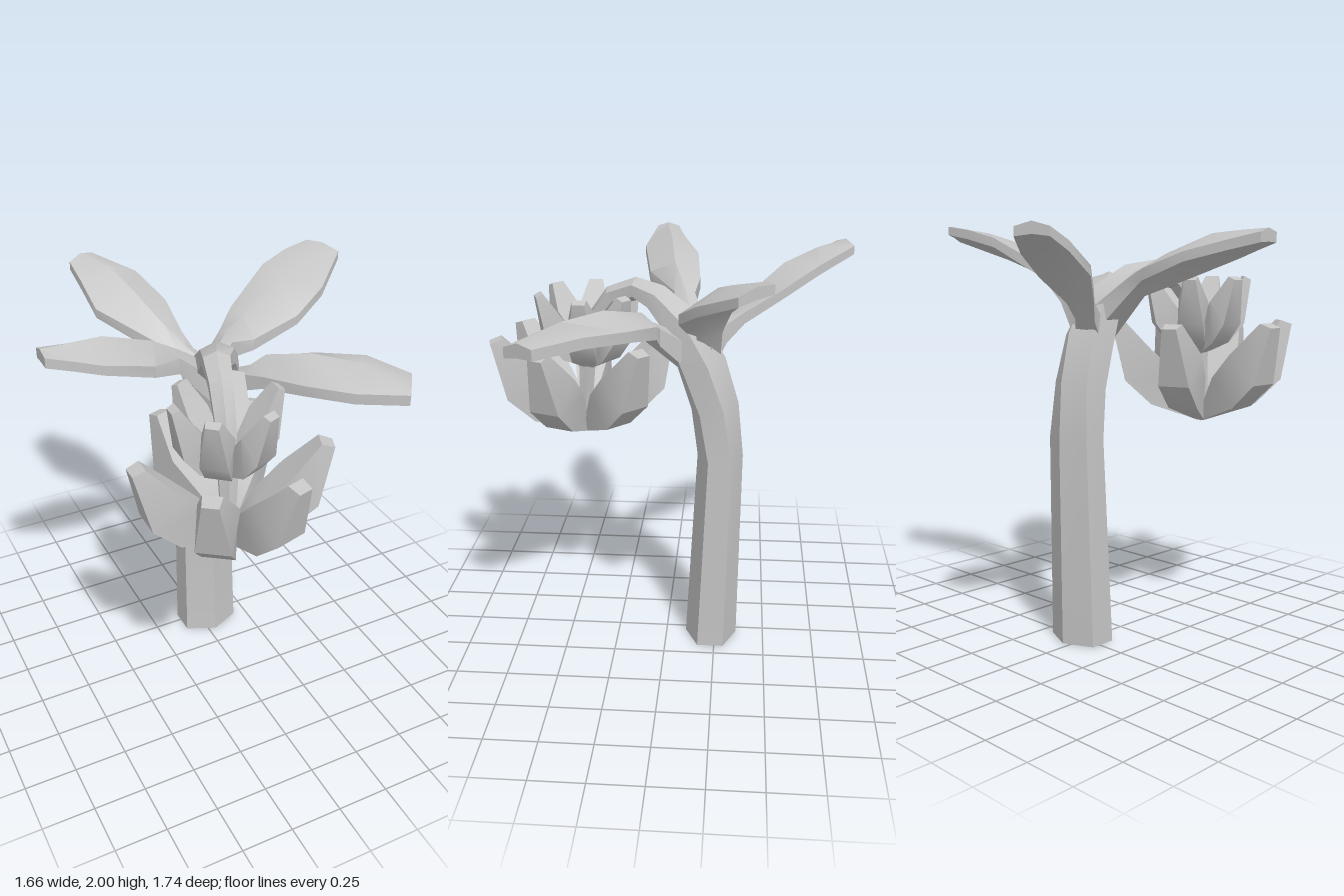
import * as THREE from 'three';
import { toCreasedNormals } from 'three/addons/utils/BufferGeometryUtils.js';

const V = (x, y, z) => new THREE.Vector3(x, y, z);

// Skin a list of rings (equal point counts) and cap both ends, faces outward.
function loft(rings, crease) {
  const n = rings[0].length;
  const tris = [];
  for (let i = 0; i < rings.length - 1; i++) {
    for (let j = 0; j < n; j++) {
      const k = (j + 1) % n;
      const a = rings[i][j], b = rings[i][k], c = rings[i + 1][k], d = rings[i + 1][j];
      tris.push([a, b, c], [a, c, d]);
    }
  }
  const first = rings[0], last = rings[rings.length - 1];
  const mid = (r) => r.reduce((s, p) => s.add(p), V(0, 0, 0)).divideScalar(n);
  const m0 = mid(first), m1 = mid(last);
  for (let j = 0; j < n; j++) {
    const k = (j + 1) % n;
    tris.push([m0, first[k], first[j]], [m1, last[j], last[k]]);
  }
  const cross = V(0, 0, 0);
  let volume = 0;
  for (const [a, b, c] of tris) volume += a.dot(cross.crossVectors(b, c));
  const pos = [];
  for (const t of tris) for (const p of volume < 0 ? [t[0], t[2], t[1]] : t) pos.push(p.x, p.y, p.z);
  const geo = new THREE.BufferGeometry();
  geo.setAttribute('position', new THREE.Float32BufferAttribute(pos, 3));
  return toCreasedNormals(geo, crease);
}

// Six-sided trunk and stalk: centre x y z, half width, half depth, sideways turn.
function trunkRings() {
  const path = [
    [0.038, 0, -0.23, 0.167, 0.13, 0],
    [0.038, 1.0, -0.26, 0.147, 0.11, 0],
    [0.04, 1.25, -0.23, 0.14, 0.115, 0.1],
    [0.045, 1.46, -0.165, 0.14, 0.12, 0.2],
    [0.035, 1.64, -0.08, 0.12, 0.1, 0.32],
    [-0.025, 1.755, 0.05, 0.09, 0.07, 0.32],
    [-0.08, 1.785, 0.15, 0.07, 0.055, 0.32],
    [-0.12, 1.74, 0.27, 0.06, 0.05, 0.32],
    [-0.145, 1.62, 0.36, 0.053, 0.045, 0.32],
    [-0.155, 1.38, 0.41, 0.05, 0.045, 0.32],
    [-0.16, 1.05, 0.43, 0.03, 0.03, 0.32],
  ];
  return path.map(([x, y, z, w, d, turn], i) => {
    const a = path[Math.max(i - 1, 0)], b = path[Math.min(i + 1, path.length - 1)];
    const t = i === 0 ? V(0, 1, 0) : V(b[0] - a[0], b[1] - a[1], b[2] - a[2]).normalize();
    const s = V(Math.cos(turn), 0, Math.sin(turn));
    const f = s.clone().cross(t).normalize();
    return Array.from({ length: 6 }, (_, j) => {
      const ang = (j * Math.PI) / 3;
      return V(x, y, z).addScaledVector(s, w * Math.sin(ang)).addScaledVector(f, d * Math.cos(ang));
    });
  });
}

// Leaf section: left edge, right edge, arch of the midrib, edge thickness.
function leafRing([lx, ly, lz, rx, ry, rz, arch, thick]) {
  const l = V(lx, ly, lz), r = V(rx, ry, rz);
  const m = l.clone().lerp(r, 0.5).add(V(0, arch, 0));
  const shift = (p, d) => p.clone().add(V(0, d, 0));
  const h = thick / 2;
  return [shift(l, h), shift(m, h * 1.3), shift(r, h), shift(r, -h), shift(m, -h * 1.3), shift(l, -h)];
}

const LEAVES = {
  leafBackLeft: [
    [-0.05, 1.5, -0.17, 0.11, 1.5, -0.21, 0.02, 0.13],
    [-0.08, 1.6, -0.25, 0.01, 1.6, -0.28, 0.01, 0.09],
    [-0.19, 1.68, -0.36, -0.01, 1.67, -0.36, 0.04, 0.055],
    [-0.37, 1.79, -0.55, -0.02, 1.78, -0.53, 0.08, 0.045],
    [-0.39, 1.89, -0.69, -0.1, 1.88, -0.7, 0.045, 0.045],
    [-0.4, 1.945, -0.8, -0.26, 1.945, -0.87, 0.015, 0.04],
  ],
  leafBackRight: [
    [0.05, 1.53, -0.25, 0.06, 1.53, -0.1, 0.02, 0.14],
    [0.14, 1.68, -0.26, 0.15, 1.66, -0.15, 0.01, 0.08],
    [0.22, 1.78, -0.3, 0.24, 1.69, -0.1, 0.03, 0.055],
    [0.45, 1.92, -0.41, 0.46, 1.78, -0.08, 0.04, 0.045],
    [0.6, 1.96, -0.45, 0.64, 1.86, -0.16, 0.03, 0.045],
    [0.73, 1.98, -0.47, 0.83, 1.95, -0.33, 0.01, 0.04],
  ],
  leafLeft: [
    [0.0, 1.53, -0.05, 0.02, 1.53, -0.2, 0.02, 0.14],
    [-0.18, 1.71, -0.02, -0.16, 1.71, -0.12, 0.01, 0.08],
    [-0.35, 1.78, 0.11, -0.27, 1.77, -0.14, 0.055, 0.055],
    [-0.6, 1.865, 0.155, -0.5, 1.85, -0.12, 0.065, 0.045],
    [-0.72, 1.9, 0.13, -0.69, 1.9, -0.04, 0.035, 0.045],
    [-0.83, 1.93, 0.11, -0.83, 1.93, 0.0, 0.01, 0.045],
  ],
  leafFrontRight: [
    [0.12, 1.48, -0.15, 0.0, 1.48, -0.07, 0.02, 0.14],
    [0.18, 1.62, 0.02, 0.09, 1.62, 0.1, 0.01, 0.08],
    [0.25, 1.66, 0.03, 0.14, 1.64, 0.17, 0.05, 0.06],
    [0.43, 1.69, 0.14, 0.24, 1.67, 0.37, 0.07, 0.05],
    [0.6, 1.71, 0.3, 0.4, 1.67, 0.53, 0.05, 0.05],
    [0.71, 1.685, 0.5, 0.61, 1.665, 0.64, 0.015, 0.05],
  ],
};

// Fruit section: outer r, y, half width, then inner r, y, half width.
const FRUIT = [
  [0.01, 0.0, 0.02, 0.02, 0.08, 0.02],
  [0.26, 0.09, 0.075, 0.12, 0.23, 0.062],
  [0.39, 0.21, 0.078, 0.25, 0.35, 0.092],
  [0.455, 0.485, 0.036, 0.395, 0.505, 0.043],
];

// Four-sided upturned fruit leaning outward along +x.
function fruitGeometry(rScale, yScale, wScale) {
  const rings = FRUIT.map(([ro, yo, wo, ri, yi, wi]) => [
    V(ro * rScale, yo * yScale, wo * wScale),
    V(ri * rScale, yi * yScale, wi * wScale),
    V(ri * rScale, yi * yScale, -wi * wScale),
    V(ro * rScale, yo * yScale, -wo * wScale),
  ]);
  return loft(rings, 0.5);
}

function fruitCluster(name, geometry, material, angles) {
  const cluster = new THREE.Group();
  cluster.name = name;
  for (const deg of angles) {
    const fruit = new THREE.Mesh(geometry, material);
    fruit.name = 'fruit';
    fruit.rotation.y = -THREE.MathUtils.degToRad(deg);
    cluster.add(fruit);
  }
  return cluster;
}

export function createModel() {
  const group = new THREE.Group();
  group.name = 'fruitTree';
  const grey = new THREE.MeshStandardMaterial({ color: 0xc4c4c4 });
  grey.name = 'plainGrey';

  const add = (name, geometry) => {
    const mesh = new THREE.Mesh(geometry, grey);
    mesh.name = name;
    group.add(mesh);
  };

  // Trunk bending over into the fruit stalk
  add('trunkAndStalk', loft(trunkRings(), 0.4));

  // Four broad leaves on short stems
  for (const [name, sections] of Object.entries(LEAVES)) add(name, loft(sections.map(leafRing), 0.75));

  // Two tiers of upturned fruit
  const lower = fruitCluster('lowerFruit', fruitGeometry(1, 1, 1), grey, [21, 74, 126, 181, 250, 314]);
  lower.position.set(-0.16, 1.035, 0.425);
  const upper = fruitCluster('upperFruit', fruitGeometry(0.57, 0.78, 0.8), grey, [2, 68, 130, 182, 239, 308]);
  upper.position.set(-0.155, 1.365, 0.395);
  group.add(lower, upper);

  return group;
}
